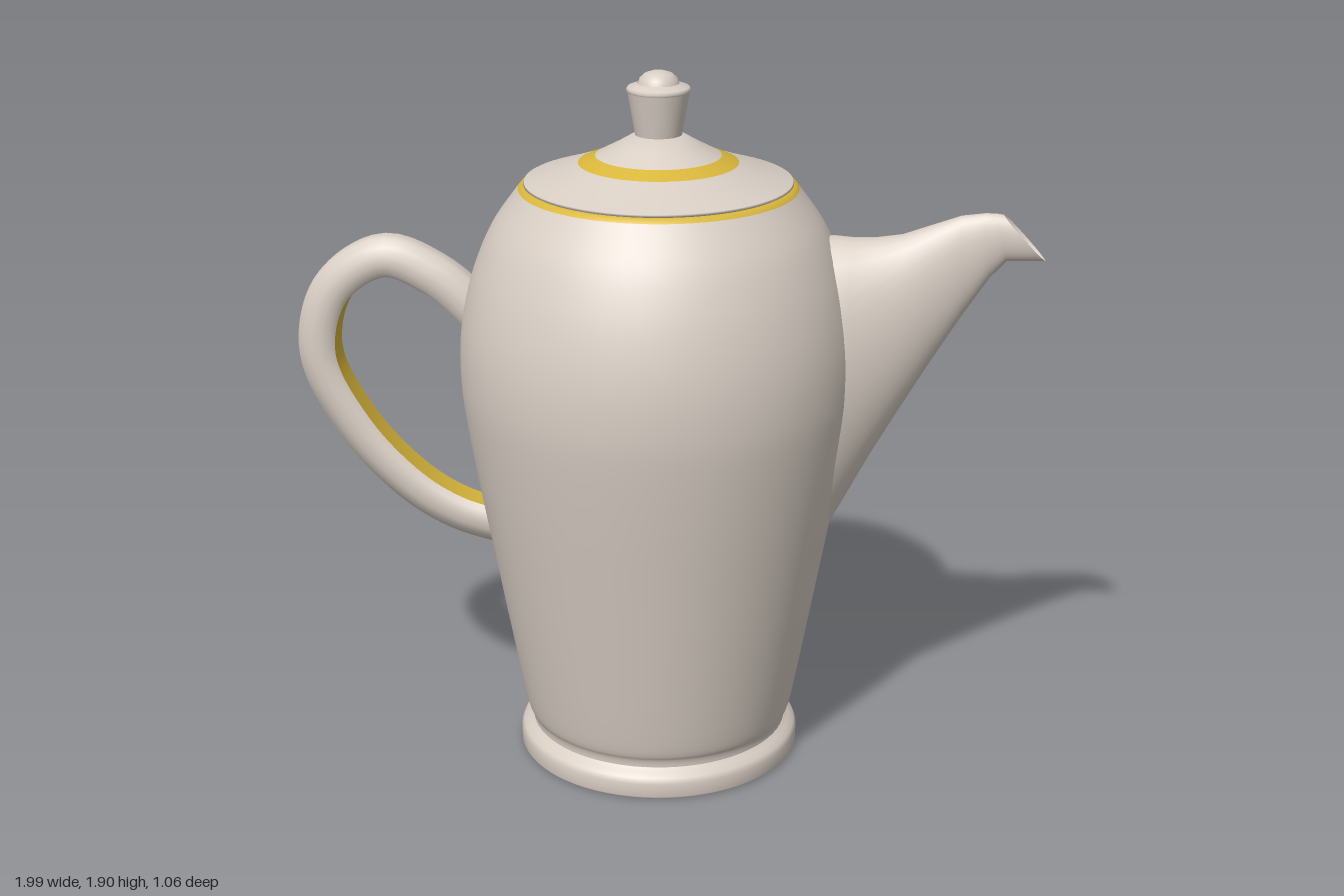
import * as THREE from 'three';

const china = new THREE.MeshStandardMaterial({ color: 0xd8cec4, side: THREE.DoubleSide });
china.name = 'warm white china';
const gold = new THREE.MeshStandardMaterial({ color: 0xd9b73c, side: THREE.DoubleSide });
gold.name = 'gold trim';

const AXIS = -0.01; // the round body sits slightly off centre

function add(parent, name, geometry, material) {
  const mesh = new THREE.Mesh(geometry, material);
  mesh.name = name;
  parent.add(mesh);
  return mesh;
}

// Turned part from [radius, height] pairs, running bottom to top
function turned(parent, name, pairs, material, smooth = 0) {
  let pts = pairs.map(([r, y]) => new THREE.Vector2(r, y));
  if (smooth) pts = new THREE.SplineCurve(pts).getPoints(smooth);
  return add(parent, name, new THREE.LatheGeometry(pts, 72), material);
}

// Skin over a list of equally long point rings
function skin(rings, closed) {
  const n = rings[0].length, index = [];
  const spans = closed ? n : n - 1;
  for (let i = 0; i < rings.length - 1; i++) {
    for (let j = 0; j < spans; j++) {
      const a = i * n + j, b = i * n + (j + 1) % n;
      index.push(a, b, a + n, b, b + n, a + n);
    }
  }
  const geometry = new THREE.BufferGeometry().setFromPoints(rings.flat());
  geometry.setIndex(index);
  geometry.computeVertexNormals();
  return geometry;
}

function makeVessel() {
  const vessel = new THREE.Group();
  vessel.name = 'vessel';
  turned(vessel, 'underside', [[0, 0], [0.38, 0]], china);
  turned(vessel, 'foot', [[0.38, 0], [0.387, 0.008], [0.387, 0.045], [0.38, 0.06], [0.365, 0.07], [0.354, 0.08]], china);
  turned(vessel, 'body', [[0.353, 0.08], [0.356, 0.1], [0.372, 0.145], [0.412, 0.36], [0.455, 0.6], [0.494, 0.82],
    [0.522, 1.0], [0.53, 1.1], [0.527, 1.2], [0.511, 1.3], [0.482, 1.4], [0.437, 1.5], [0.368, 1.597]], china, 64);
  turned(vessel, 'rimBand', [[0.368, 1.597], [0.358, 1.608], [0.345, 1.608]], gold);
  return vessel;
}

function makeLid() {
  const lid = new THREE.Group();
  lid.name = 'lid';
  turned(lid, 'lidEdge', [[0.345, 1.606], [0.354, 1.611], [0.352, 1.616]], china);
  turned(lid, 'lidSkirt', [[0.352, 1.616], [0.28, 1.639], [0.21, 1.664]], china);
  turned(lid, 'lidBand', [[0.21, 1.664], [0.165, 1.683]], gold);
  turned(lid, 'lidCrown', [[0.165, 1.683], [0.11, 1.712], [0.066, 1.738], [0, 1.738]], china);
  // Flared knob with a small domed button
  turned(lid, 'knobStem', [[0.061, 1.736], [0.081, 1.85]], china);
  turned(lid, 'knobRim', [[0.081, 1.85], [0.084, 1.856], [0.08, 1.863], [0.054, 1.872]], china);
  turned(lid, 'knobButton', [[0.054, 1.87], [0.049, 1.885], [0.036, 1.897], [0.018, 1.903], [0, 1.905]], china);
  return lid;
}

function makeHandle() {
  const handle = new THREE.Group();
  handle.name = 'handle';
  const path = new THREE.CatmullRomCurve3([
    [-0.41, 0.624], [-0.46, 0.632], [-0.57, 0.665], [-0.69, 0.738], [-0.84, 0.9], [-0.938, 1.11],
    [-0.893, 1.295], [-0.748, 1.391], [-0.615, 1.345], [-0.51, 1.26], [-0.44, 1.18],
  ].map(([x, y]) => new THREE.Vector3(x, y, 0)));
  // Section as [outward, sideways]; its open side is filled by the gold strip
  const half = [[0.055, 0.012], [0.05, 0.026], [0.03, 0.045], [0.008, 0.058], [-0.018, 0.059], [-0.04, 0.053], [-0.053, 0.04]];
  const section = [...half.map(([o, z]) => [o, -z]).reverse(), ...half];
  const strip = [[-0.053, 0.04], [-0.052, 0], [-0.053, -0.04]];
  const sweep = (shape) => {
    const rings = [];
    for (let i = 0; i <= 64; i++) {
      const p = path.getPointAt(i / 64), t = path.getTangentAt(i / 64);
      rings.push(shape.map(([o, z]) => new THREE.Vector3(p.x - t.y * o, p.y + t.x * o, z)));
    }
    return skin(rings, false);
  };
  add(handle, 'handleLoop', sweep(section), china);
  add(handle, 'handleInnerStrip', sweep(strip), gold);
  return handle;
}

function makeSpout() {
  const spout = new THREE.Group();
  spout.name = 'spout';
  // Oval slice: top x, top y, bottom x, bottom y, half width
  const oval = ([tx, ty, bx, by, w]) => Array.from({ length: 36 }, (_, j) => {
    const a = j / 36 * Math.PI * 2, k = (1 - Math.cos(a)) / 2;
    return new THREE.Vector3(tx + (bx - tx) * k, ty + (by - ty) * k, w * Math.sin(a));
  });
  const outer = [
    [0.40, 1.475, 0.41, 0.585, 0.2], [0.455, 1.478, 0.455, 0.67, 0.18], [0.5, 1.475, 0.5, 0.757, 0.157],
    [0.56, 1.477, 0.56, 0.874, 0.126], [0.63, 1.488, 0.635, 1.008, 0.097], [0.7, 1.514, 0.712, 1.142, 0.071],
    [0.78, 1.543, 0.79, 1.272, 0.047], [0.84, 1.551, 0.858, 1.378, 0.036], [0.868, 1.551, 0.9, 1.425, 0.031],
    [0.888, 1.548, 1.0, 1.428, 0.029],
  ];
  const inner = [
    [0.888, 1.548, 1.0, 1.428, 0.029], [0.882, 1.538, 0.975, 1.437, 0.023],
    [0.855, 1.532, 0.885, 1.44, 0.021], [0.78, 1.52, 0.79, 1.34, 0.028], [0.78, 1.43, 0.78, 1.43, 0],
  ];
  add(spout, 'spoutShell', skin(outer.map(oval), true), china);
  add(spout, 'spoutMouth', skin(inner.map(oval), true), china);
  return spout;
}

export function createModel() {
  const model = new THREE.Group();
  model.name = 'coffeePot';
  const vessel = makeVessel(), lid = makeLid();
  vessel.position.x = lid.position.x = AXIS;
  model.add(vessel, lid, makeHandle(), makeSpout());
  return model;
}
